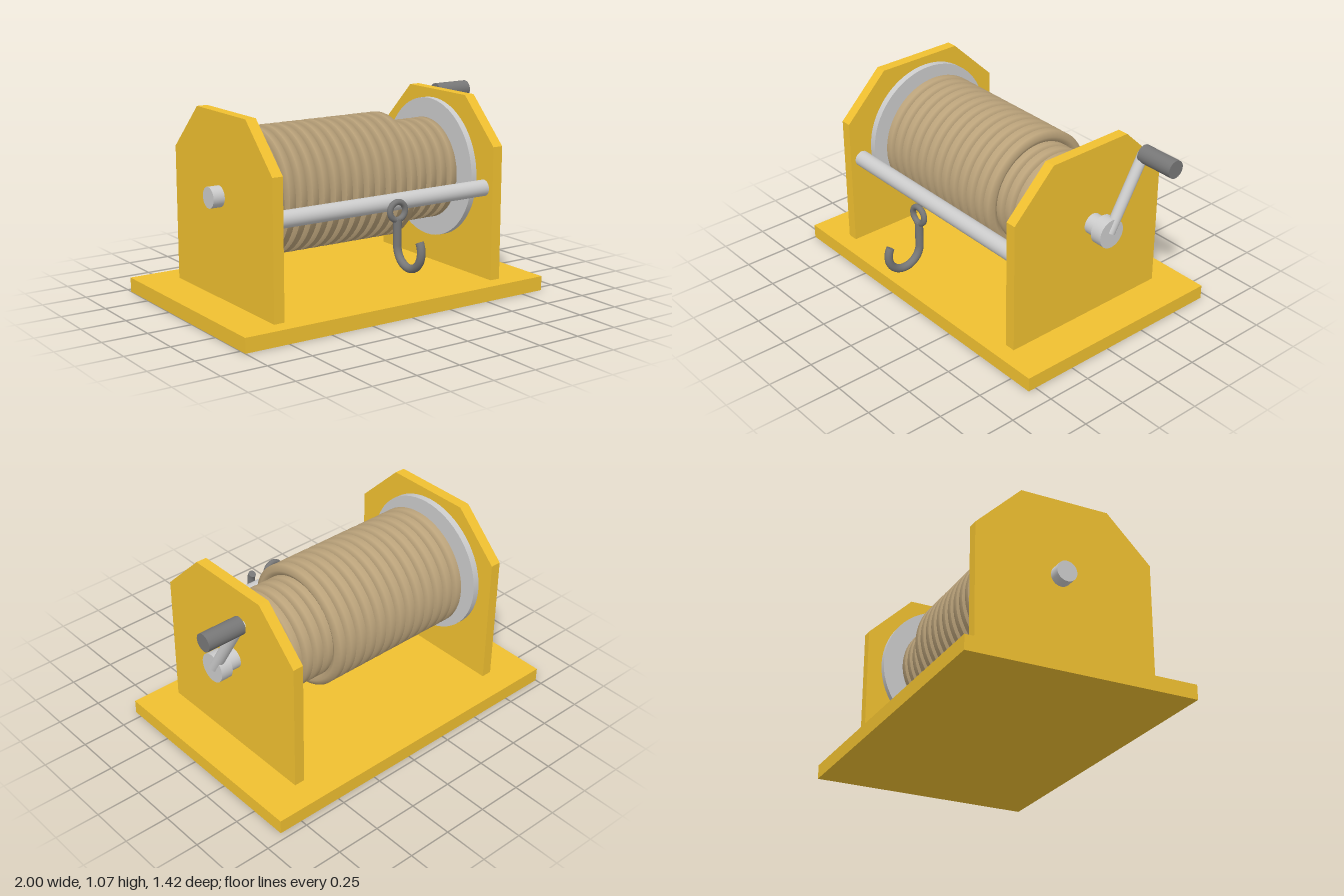
import * as THREE from 'three';

const mat = (color) => new THREE.MeshStandardMaterial({ color });
const yellow = mat(0xf0c030);
const steel = mat(0xcccccc);
const dark = mat(0x777777);
const ropeMat = mat(0xbaa27a);

const AXIS_Y = 0.63, AXIS_Z = -0.08;

export function createModel() {
  const model = new THREE.Group();
  model.name = 'winch';

  const add = (name, geometry, material, x = 0, y = 0, z = 0) => {
    const mesh = new THREE.Mesh(geometry, material);
    mesh.name = name;
    mesh.position.set(x, y, z);
    model.add(mesh);
    return mesh;
  };

  // Cylinder lying along x between two x values
  const rod = (name, x0, x1, radius, y, z, material = steel, sides = 48) =>
    add(name, new THREE.CylinderGeometry(radius, radius, x1 - x0, sides).rotateZ(Math.PI / 2),
      material, (x0 + x1) / 2, y, z);

  // Base plate
  add('base', new THREE.BoxGeometry(1.885, 0.08, 1.255), yellow, -0.0575, 0.04, -0.0825);

  // Side plates with chamfered tops, drawn in (z, y)
  const outline = new THREE.Shape([
    [-0.555, 0.08], [0.45, 0.08], [0.45, 0.82], [0.2, 1.07], [-0.3, 1.07], [-0.555, 0.82],
  ].map(([z, y]) => new THREE.Vector2(z, y)));
  const plate = new THREE.ExtrudeGeometry(outline, { depth: 0.06, bevelEnabled: false });
  plate.rotateY(-Math.PI / 2);
  add('rightSidePlate', plate, yellow, -0.72);
  add('leftSidePlate', plate, yellow, 0.66);

  // Drum with its axle and flanges
  rod('axle', -0.845, 0.74, 0.057, AXIS_Y, AXIS_Z);
  rod('drum', -0.7, 0.58, 0.23, AXIS_Y, AXIS_Z);
  rod('rightFlange', -0.72, -0.683, 0.392, AXIS_Y, AXIS_Z, steel, 64);
  rod('leftFlange', 0.565, 0.602, 0.392, AXIS_Y, AXIS_Z, steel, 64);

  // Rope turns of six-sided section, the second layer lying in the grooves of the first
  const rope = new THREE.Group();
  rope.name = 'rope';
  model.add(rope);
  const turnGeometry = (radius) => {
    const section = [];
    for (let i = 0; i <= 6; i++) {
      const a = (i + 0.5) * Math.PI / 3;
      section.push(new THREE.Vector2(radius + 0.036 * Math.cos(a), 0.036 * Math.sin(a)));
    }
    return new THREE.LatheGeometry(section, 64).rotateZ(Math.PI / 2);
  };
  const layer = (name, radius, lastX, count) => {
    const geometry = turnGeometry(radius);
    for (let i = 0; i < count; i++) {
      const turn = new THREE.Mesh(geometry, ropeMat);
      turn.name = name;
      turn.position.set(lastX - 0.0695 * i, AXIS_Y, AXIS_Z);
      rope.add(turn);
    }
  };
  layer('innerRopeTurn', 0.253, 0.53, 18);
  layer('outerRopeTurn', 0.312, 0.217, 13);

  // Guide bar across the front
  rod('guideBar', -0.72, 0.6, 0.045, 0.585, 0.375, steel, 32);

  // Crank: hub, slanted arm and grip
  rod('crankHub', 0.73, 0.798, 0.08, AXIS_Y, AXIS_Z);
  const from = new THREE.Vector3(0.78, AXIS_Y, AXIS_Z);
  const to = new THREE.Vector3(0.78, 1.01, -0.3);
  const along = to.clone().sub(from);
  const arm = add('crankArm', new THREE.CylinderGeometry(0.03, 0.03, along.length(), 24), steel);
  arm.position.copy(from).add(to).multiplyScalar(0.5);
  arm.quaternion.setFromUnitVectors(new THREE.Vector3(0, 1, 0), along.normalize());
  rod('crankGrip', 0.782, 1, 0.049, 1.01, -0.3, dark, 32);

  // Hook: eye, straight shank, curl and end caps
  const HX = -0.06, SHANK_Z = 0.488, CURL_Y = 0.388, CURL_R = 0.102, TUBE = 0.022;
  add('hookEye', new THREE.TorusGeometry(0.047, 0.016, 16, 40), dark, HX, 0.567, SHANK_Z);
  add('hookShank', new THREE.CylinderGeometry(TUBE, TUBE, 0.526 - CURL_Y, 20), dark,
    HX, (0.526 + CURL_Y) / 2, SHANK_Z);
  const sweep = Math.PI * 7 / 6;
  // The curl runs from the shank under and up to the front
  const curl = new THREE.TorusGeometry(CURL_R, TUBE, 16, 48, sweep);
  curl.rotateZ(Math.PI).rotateY(-Math.PI / 2);
  add('hookCurl', curl, dark, HX, CURL_Y, SHANK_Z + CURL_R);
  const tip = add('hookTip', new THREE.CircleGeometry(TUBE, 20), dark, HX,
    CURL_Y - CURL_R * Math.sin(sweep), SHANK_Z + CURL_R - CURL_R * Math.cos(sweep));
  tip.lookAt(HX, tip.position.y + Math.cos(Math.PI / 6), tip.position.z - Math.sin(Math.PI / 6));

  return model;
}
